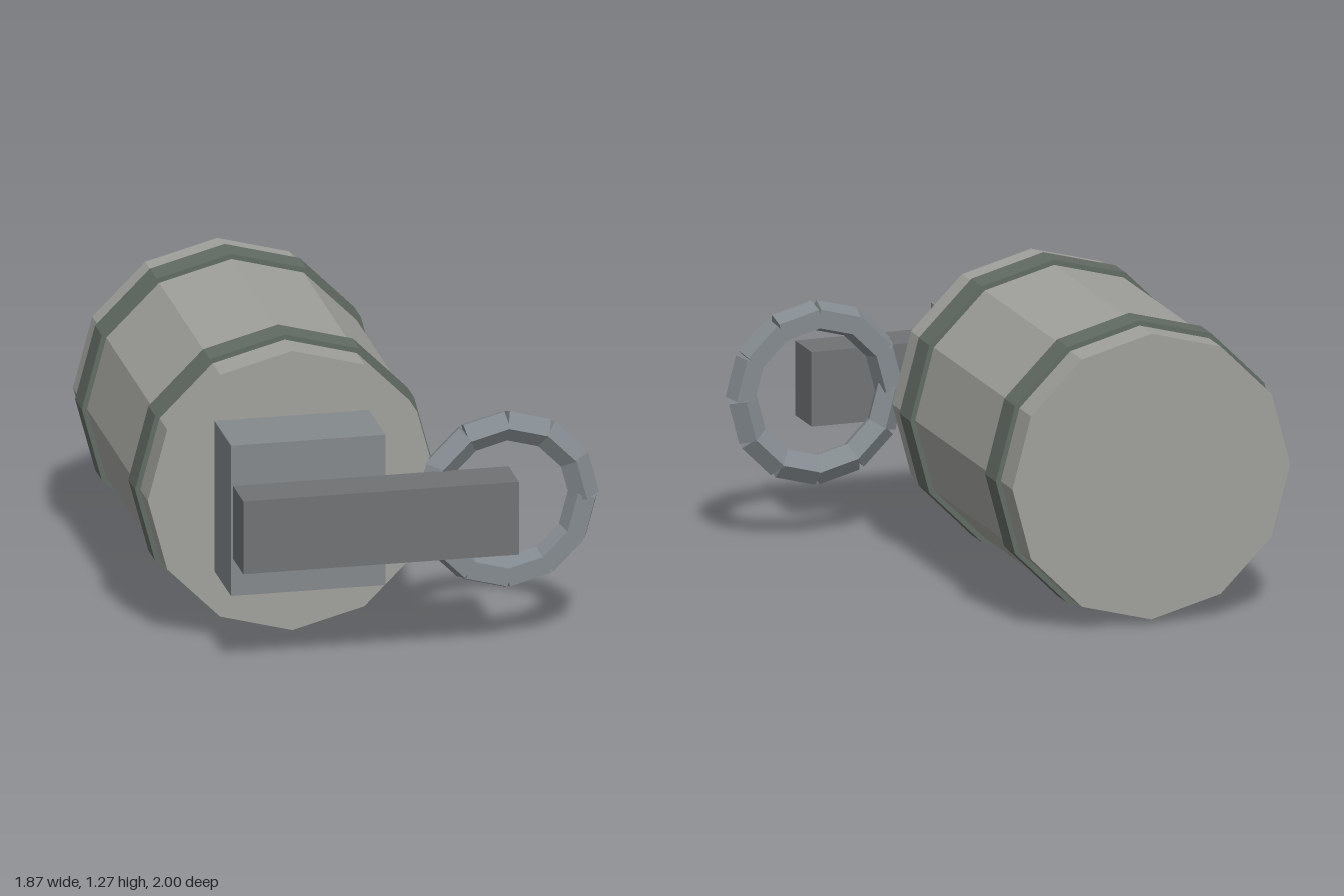
import * as THREE from 'three';

export function createModel() {
  const model = new THREE.Group();
  const add = (name, geometry, color, x, y, z, parent = model) => {
    const material = new THREE.MeshStandardMaterial({ color, flatShading: true });
    const mesh = new THREE.Mesh(geometry, material);
    mesh.name = name;
    mesh.position.set(x, y, z);
    parent.add(mesh);
    return mesh;
  };

  // Twelve-sided drum lying along z, with two raised bands
  const drum = (r, length) => new THREE.CylinderGeometry(r, r, length, 12).rotateX(Math.PI / 2);
  add('barrel', drum(0.613, 1.46), 0xa0a09c, -0.305, 0.638, -0.27);
  add('frontBand', drum(0.635, 0.13), 0x626b64, -0.305, 0.638, 0.247);
  add('rearBand', drum(0.635, 0.13), 0x626b64, -0.305, 0.638, -0.793);

  // Mounting block and the cross bar in front of it
  add('mountBlock', new THREE.BoxGeometry(0.655, 0.66, 0.32), 0x84898c, -0.307, 0.638, 0.62);
  add('crossBar', new THREE.BoxGeometry(1.17, 0.32, 0.2), 0x707274, -0.045, 0.638, 0.9);

  // Ring of five-sided links hanging at the end of the bar
  const ring = new THREE.Group();
  ring.name = 'linkRing';
  ring.position.set(0.54, 0.638, 0.75);
  model.add(ring);
  const upper = new THREE.CylinderGeometry(0.066, 0.066, 0.18, 5);
  const lower = upper.clone().rotateY(Math.PI); // lower links have their ridge at the back
  for (let i = 0; i < 12; i++) {
    const a = (i + 0.5) * Math.PI / 6;
    const link = add('link', i < 6 ? upper : lower, 0x848b90,
      0.317 * Math.cos(a), 0.317 * Math.sin(a), 0, ring);
    link.rotation.z = a;
  }

  return model;
}
